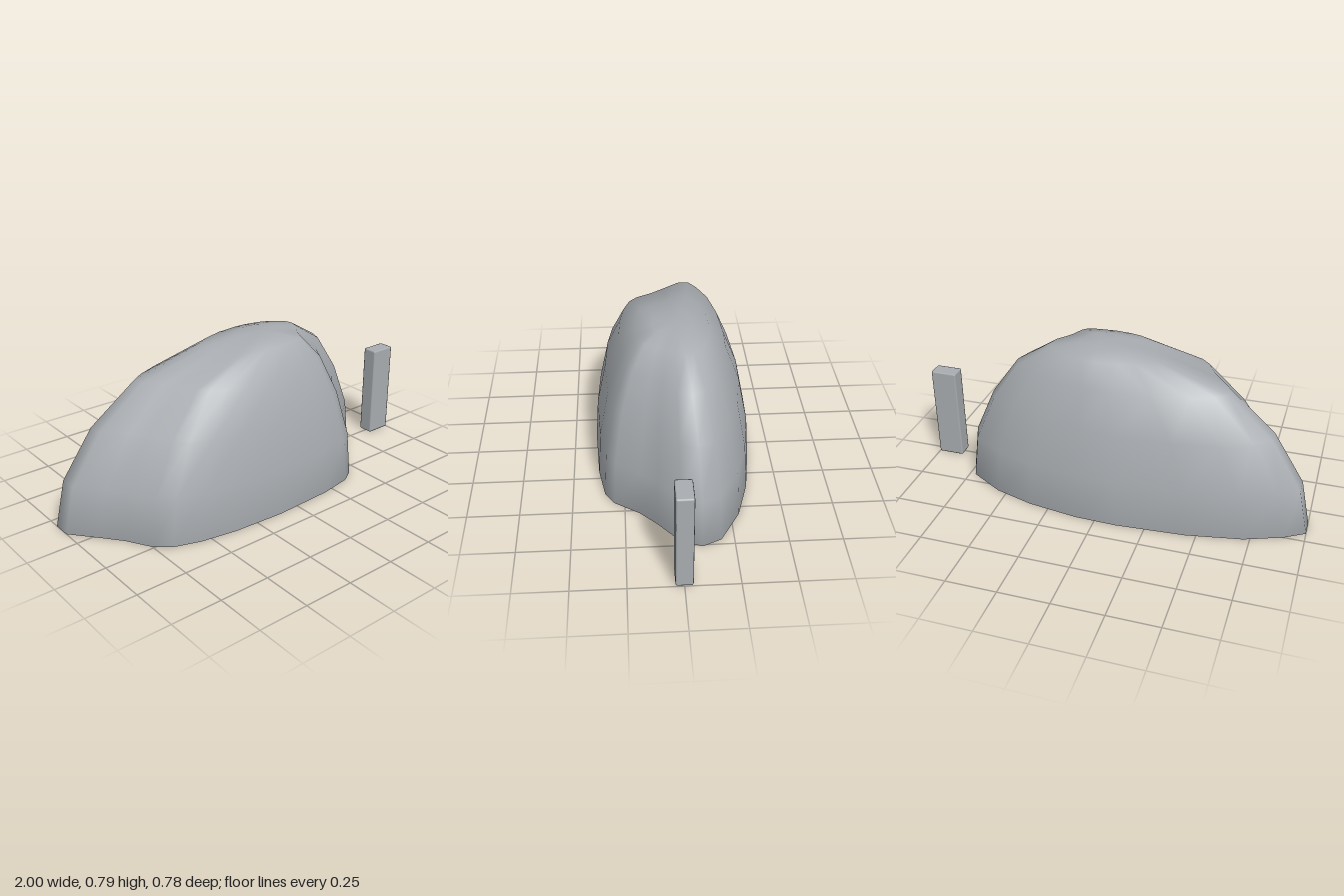
import * as THREE from 'three';
import { RoundedBoxGeometry } from 'three/addons/geometries/RoundedBoxGeometry.js';

// plan of the boulder at ground level (x, z), clockwise from its right end
const OUTLINE = [
  [-1, -0.19], [-0.9, -0.25], [-0.72, -0.32], [-0.45, -0.37], [-0.11, -0.393], [0.1, -0.387],
  [0.35, -0.35], [0.55, -0.29], [0.72, -0.19], [0.76, -0.1], [0.72, 0], [0.6, 0.1],
  [0.52, 0.18], [0.44, 0.3], [0.37, 0.345], [0.2, 0.375], [-0.11, 0.39], [-0.37, 0.375],
  [-0.55, 0.345], [-0.68, 0.3], [-0.75, 0.24], [-0.82, 0.12], [-0.9, 0.02], [-1, -0.1],
];

// rings from the middle of the underside, out to the rim and up to the crown:
// height, centre x, x scale, z scale
const RINGS = [
  [0, -0.12, 0.3, 0.3], [0, -0.12, 0.6, 0.6], [0, -0.12, 0.9, 0.9],
  [0, -0.12, 1, 1], [0.23, -0.11, 0.955, 0.96], [0.465, -0.085, 0.81, 0.84],
  [0.655, -0.04, 0.605, 0.655], [0.757, 0.055, 0.305, 0.45], [0.78, 0.07, 0.13, 0.24],
];

function boulderGeometry() {
  const n = OUTLINE.length;
  const pos = [];
  const index = [];
  for (const [y, cx, sx, sz] of RINGS)
    for (const [x, z] of OUTLINE) pos.push(cx + (x + 0.12) * sx, y, z * sz);
  const bottom = pos.length / 3;
  const top = bottom + 1;
  pos.push(-0.12, 0, 0, 0.08, 0.785, 0);

  for (let i = 0; i < n; i++) {
    const j = (i + 1) % n;
    for (let r = 0; r < RINGS.length - 1; r++) {
      const a = r * n + i, b = r * n + j, c = a + n, d = b + n;
      index.push(a, c, b, b, c, d);
    }
    const last = (RINGS.length - 1) * n;
    index.push(bottom, i, j, last + i, top, last + j);
  }
  const geo = new THREE.BufferGeometry();
  geo.setAttribute('position', new THREE.Float32BufferAttribute(pos, 3));
  geo.setIndex(index);
  geo.computeVertexNormals();
  return geo;
}

export function createModel() {
  const model = new THREE.Group();
  model.name = 'boulderAndPost';
  const stone = new THREE.MeshStandardMaterial({ color: 0xa8acb0 });
  stone.name = 'stone grey';

  // smooth boulder with a flat underside
  const boulder = new THREE.Mesh(boulderGeometry(), stone);
  boulder.name = 'boulder';
  model.add(boulder);

  // small upright post with softened edges
  const post = new THREE.Mesh(new RoundedBoxGeometry(0.134, 0.49, 0.08, 1, 0.008), stone);
  post.name = 'post';
  post.position.set(0.932, 0.245, 0);
  model.add(post);

  return model;
}
